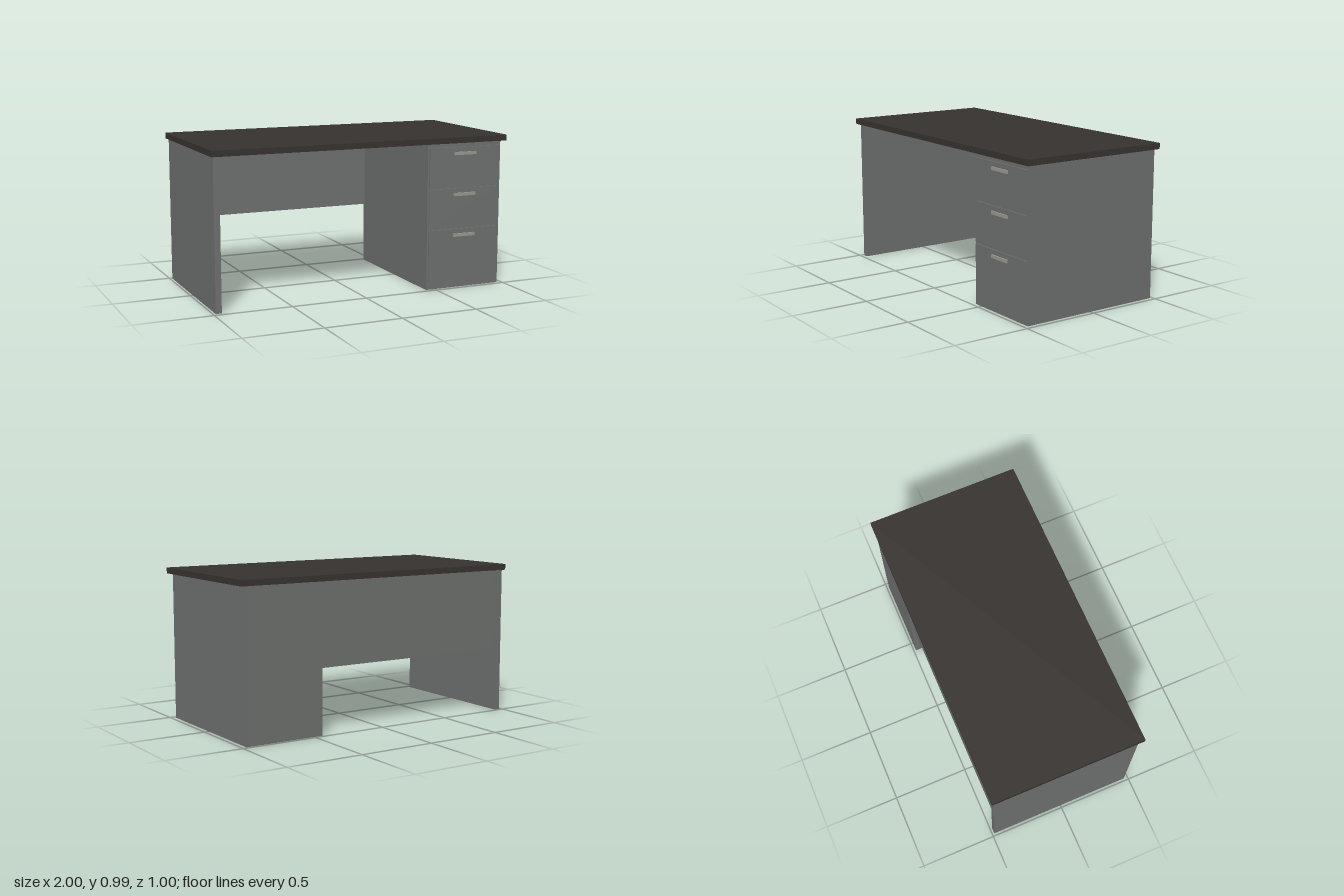
import * as THREE from 'three';

export function createModel() {
  const desk = new THREE.Group();
  desk.name = 'desk';

  const topMaterial = new THREE.MeshStandardMaterial({ color: 0x36322f });
  const bodyMaterial = new THREE.MeshStandardMaterial({ color: 0x6c6f6d });
  const handleMaterial = new THREE.MeshStandardMaterial({ color: 0x96968e });

  // Box given by its lower and upper limits on each axis
  function addBox(parent, name, material, [x0, x1], [y0, y1], [z0, z1]) {
    const mesh = new THREE.Mesh(new THREE.BoxGeometry(x1 - x0, y1 - y0, z1 - z0), material);
    mesh.position.set((x0 + x1) / 2, (y0 + y1) / 2, (z0 + z1) / 2);
    mesh.name = name;
    parent.add(mesh);
  }

  const depth = [-0.485, 0.473];

  addBox(desk, 'desktop', topMaterial, [-1, 1], [0.95, 0.988], [-0.5, 0.5]);
  addBox(desk, 'sidePanel', bodyMaterial, [-0.983, -0.945], [0, 0.95], depth);
  addBox(desk, 'modestyPanel', bodyMaterial, [-0.937, 0.425], [0.418, 0.95], [-0.47, -0.44]);

  // Drawer cabinet
  const cabinet = new THREE.Group();
  cabinet.name = 'drawerCabinet';
  desk.add(cabinet);
  addBox(cabinet, 'cabinetBody', bodyMaterial, [0.439, 0.97], [0, 0.95], depth);

  // Drawer fronts with bar handles: bottom, top, handle centre
  const drawers = [
    [0.055, 0.389, 0.349],
    [0.4, 0.656, 0.616],
    [0.669, 0.922, 0.882],
  ];
  for (const [bottom, top, handleY] of drawers) {
    const drawer = new THREE.Group();
    drawer.name = 'drawer';
    cabinet.add(drawer);
    addBox(drawer, 'drawerFront', bodyMaterial, [0.45, 0.959], [bottom, top], [0.473, 0.482]);
    addBox(drawer, 'drawerHandle', handleMaterial, [0.625, 0.782], [handleY - 0.01, handleY + 0.01], [0.482, 0.492]);
  }

  return desk;
}
